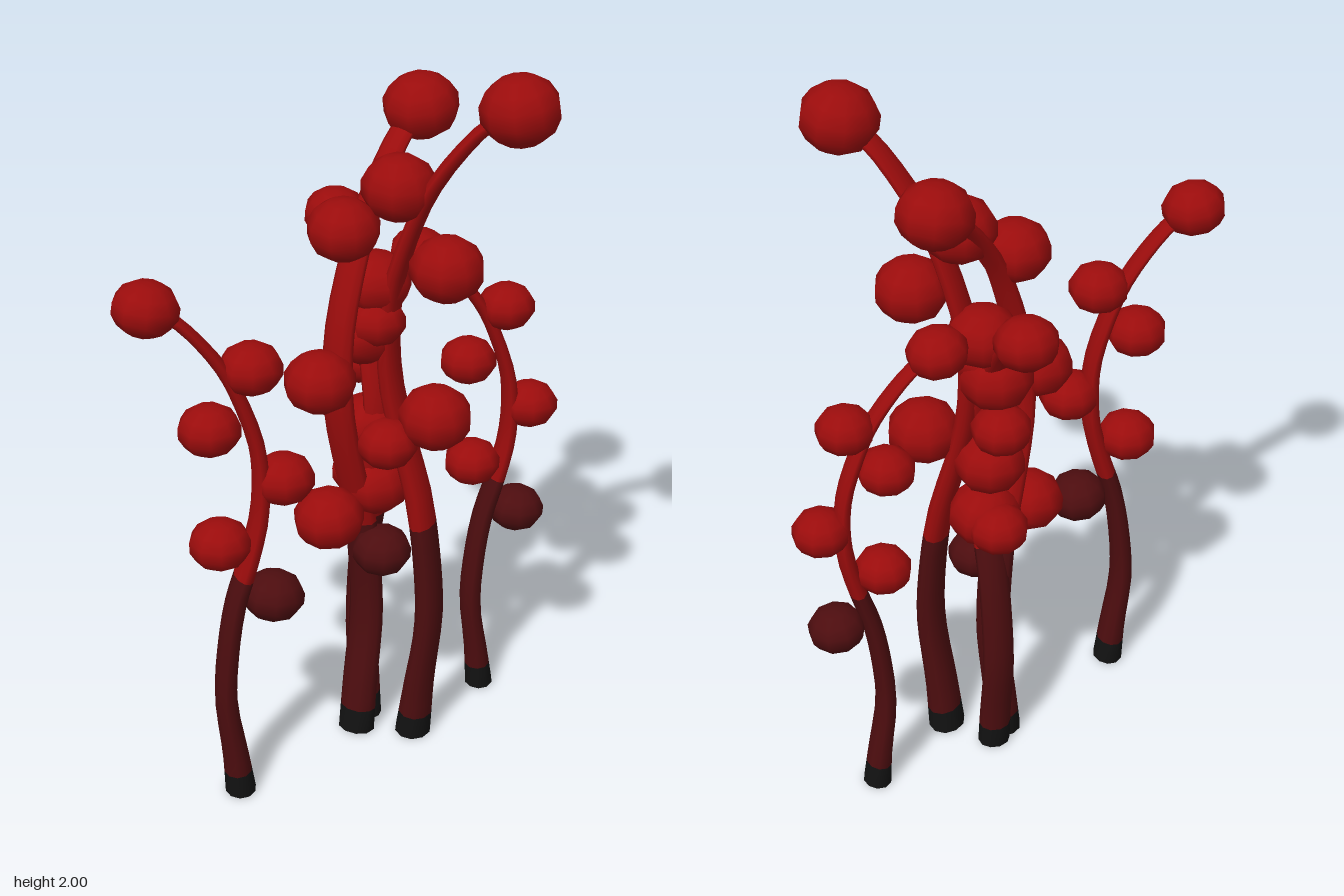
import * as THREE from 'three';

const red = new THREE.MeshStandardMaterial({ color: 0x9b0c0c, name: 'berryRed' });
const dark = new THREE.MeshStandardMaterial({ color: 0x4d0d0f, name: 'darkMaroon' });
const black = new THREE.MeshStandardMaterial({ color: 0x121212, name: 'baseBlack' });

const BLACK_TOP = 0.07; // heights where the stem colour changes
const DARK_TOP = 0.68;

// Stem centre line in its own plane (x, y)
const PATH = [[0, 0], [-0.012, 0.12], [-0.034, 0.3], [-0.026, 0.45], [-0.003, 0.6], [0.032, 0.72], [0.063, 0.85],
  [0.07, 0.96], [0.06, 1.07], [0.02, 1.2], [-0.02, 1.29], [-0.085, 1.385], [-0.15, 1.455], [-0.21, 1.49]];

// Berries along the stem: x, y, radius, tilt
const BERRIES = [[-0.21, 1.49, 0.087, -0.15], [0.05, 1.29, 0.083, 0], [-0.06, 1.13, 0.083, 0],
  [0.13, 0.96, 0.083, 0], [-0.04, 0.79, 0.083, 0], [0.1, 0.61, 0.083, -0.1]];

// Stems: x, z, turn, horizontal scale, vertical scale
const STEMS = [
  ['leftStem', -0.352, 0.22, 0, 1, 1],
  ['rightStem', 0.427, -0.097, 0, 0.94, 0.934],
  ['tallFrontStem', 0.178, 0.077, 2.5, 1.2, 1.28],
  ['tallMiddleStem', 0.03, 0.02, -2.55, 1.16, 1.208],
  ['backStem', 0.07, -0.03, -1.42, 0.98, 0.985],
];

// Flattened tapering tube between two curve parameters
function stemSection(curve, t0, t1, rows, scale, capped) {
  const sides = 10, pos = [], idx = [];
  for (let i = 0; i <= rows; i++) {
    const t = t0 + (t1 - t0) * i / rows;
    const p = curve.getPoint(t), d = curve.getTangent(t);
    const rx = scale * (t < 0.12 ? THREE.MathUtils.lerp(0.042, 0.031, t / 0.12)
      : THREE.MathUtils.lerp(0.031, 0.013, (t - 0.12) / 0.88));
    const rz = scale * THREE.MathUtils.lerp(0.046, 0.028, t * t);
    for (let j = 0; j < sides; j++) {
      const a = j / sides * Math.PI * 2;
      const c = Math.cos(a) * rx;
      pos.push(p.x + d.y * c, Math.max(0, p.y - d.x * c), Math.sin(a) * rz);
    }
  }
  for (let i = 0; i < rows; i++) {
    for (let j = 0; j < sides; j++) {
      const a = i * sides + j, b = i * sides + (j + 1) % sides;
      idx.push(a, a + sides, b, b, a + sides, b + sides);
    }
  }
  // Separate ring so the foot keeps a sharp edge
  if (capped) {
    const n = pos.length / 3;
    for (let j = 0; j < sides * 3; j++) pos.push(pos[j]);
    for (let j = 1; j < sides - 1; j++) idx.push(n, n + j, n + j + 1);
  }
  const g = new THREE.BufferGeometry();
  g.setAttribute('position', new THREE.Float32BufferAttribute(pos, 3));
  g.setIndex(idx);
  g.computeVertexNormals();
  return g;
}

// Curve parameter at a given height
function paramAt(curve, y) {
  let lo = 0, hi = 1;
  for (let i = 0; i < 30; i++) {
    const m = (lo + hi) / 2;
    if (curve.getPoint(m).y < y) lo = m; else hi = m;
  }
  return lo;
}

function buildStem([name, x, z, turn, sx, sy]) {
  const stem = new THREE.Group();
  stem.name = name;
  stem.position.set(x, 0, z);
  stem.rotation.y = turn;
  const add = (geo, mat, part) => {
    const m = new THREE.Mesh(geo, mat);
    m.name = part;
    stem.add(m);
    return m;
  };
  const curve = new THREE.CatmullRomCurve3(PATH.map(([px, py]) => new THREE.Vector3(px * sx, py * sy, 0)));
  const tBlack = paramAt(curve, BLACK_TOP), tDark = paramAt(curve, DARK_TOP);
  add(stemSection(curve, 0, tBlack, 2, sx, true), black, 'stemFoot');
  add(stemSection(curve, tBlack, tDark, 12, sx), dark, 'lowerStem');
  add(stemSection(curve, tDark, 1, 20, sx), red, 'upperStem');

  // Slightly flattened berries
  BERRIES.forEach(([bx, by, r, tilt]) => {
    const geo = new THREE.SphereGeometry(1, 9, 7);
    const berry = add(geo, by * sy < DARK_TOP ? dark : red, 'berry');
    berry.position.set(bx * sx, by * sy, 0);
    berry.scale.set(r * sx, r * 0.82 * sy, r * sx);
    berry.rotation.z = tilt;
  });
  return stem;
}

export function createModel() {
  const group = new THREE.Group();
  group.name = 'berryStems';
  STEMS.forEach((s) => group.add(buildStem(s)));
  return group;
}
